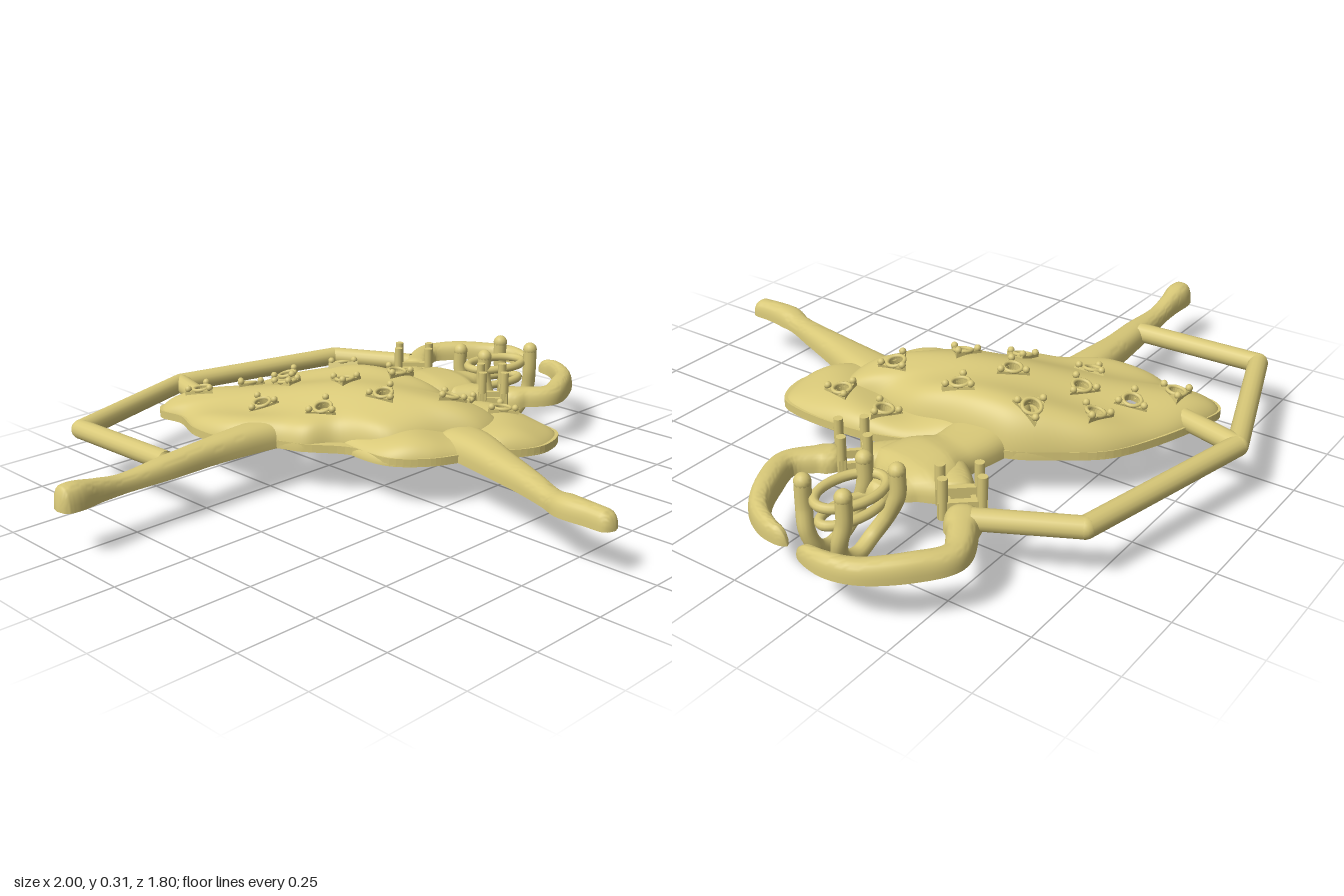
import * as THREE from 'three';
import { toCreasedNormals } from 'three/addons/utils/BufferGeometryUtils.js';

const BASE = 0.14; // height of the flat back
const gold = new THREE.MeshStandardMaterial({ color: 0xd8c878, side: THREE.DoubleSide });
const V = (x, y, z) => new THREE.Vector3(x, y, z);

function mesh(name, geometry, parent) {
  const m = new THREE.Mesh(geometry, gold);
  m.name = name;
  parent.add(m);
  return m;
}

function gridIndex(rows, cols) {
  const index = [];
  for (let i = 0; i < rows; i++) for (let j = 0; j < cols; j++) {
    const a = i * cols + j, b = i * cols + (j + 1) % cols;
    index.push(a, b, a + cols, b, b + cols, a + cols);
  }
  return index;
}

function fromGrid(pos, rows, cols) {
  const g = new THREE.BufferGeometry();
  g.setAttribute('position', new THREE.Float32BufferAttribute(pos, 3));
  g.setIndex(gridIndex(rows, cols));
  g.computeVertexNormals();
  return g;
}

// Flat-backed domed limb; stations are [x, z, half width, height]
function limb(stations) {
  const path = new THREE.CatmullRomCurve3(stations.map(s => V(s[0], 0, s[1])));
  const size = new THREE.CatmullRomCurve3(stations.map(s => V(s[2], s[3], 0)));
  const rows = stations.length * 8, arc = 16, cols = arc + 1, pos = [];
  for (let i = 0; i <= rows; i++) {
    const t = i / rows, c = path.getPoint(t), s = size.getPoint(t);
    const side = V(0, 1, 0).cross(path.getTangent(t)).normalize();
    const end = Math.min(1, Math.sqrt(Math.max(0, 1 - (1 - Math.min(i, rows - i, 4) / 4) ** 2)));
    for (let j = 0; j < cols; j++) {
      const a = Math.PI * j / arc, ca = Math.cos(a);
      const w = Math.sign(ca) * Math.abs(ca) ** 0.75 * s.x * end;
      pos.push(c.x + side.x * w, BASE + s.y * end * Math.abs(Math.sin(a)) ** 0.75, c.z + side.z * w);
    }
  }
  return toCreasedNormals(fromGrid(pos, rows, cols), 0.9);
}

function outlinePoints(outline, n) {
  return new THREE.CatmullRomCurve3(outline.map(p => V(p[0], 0, p[1])), true).getPoints(n).slice(0, n);
}

// Domed cloth layer: rings shrink from the outline to a centre point
function cloth(outline, cx, cz, top) {
  const cols = 160, rows = 50, rim = outlinePoints(outline, cols), pos = [];
  for (let i = 0; i <= rows; i++) {
    const t = Math.sin(Math.PI / 2 * (1 - i / rows));
    for (const p of rim) {
      const x = cx + (p.x - cx) * t, z = cz + (p.z - cz) * t;
      pos.push(x, BASE + (top(x, z) - BASE) * Math.sqrt(Math.max(0, 1 - t ** 8)), z);
    }
  }
  return fromGrid(pos, rows, cols);
}

// Cut openings by dropping the triangles around each centre
function pierce(geometry, centres, radius) {
  const p = geometry.attributes.position, src = geometry.index.array, kept = [];
  for (let i = 0; i < src.length; i += 3) {
    const f = [src[i], src[i + 1], src[i + 2]];
    const x = f.reduce((s, k) => s + p.getX(k), 0) / 3, z = f.reduce((s, k) => s + p.getZ(k), 0) / 3;
    if (centres.every(c => Math.hypot(c[0] - x, c[1] - z) > radius)) kept.push(...f);
  }
  geometry.setIndex(kept);
}

function circleHole(x, y, r, sides) {
  const h = new THREE.Path();
  h.setFromPoints(Array.from({ length: sides }, (_, k) => {
    const a = -2 * Math.PI * k / sides;
    return new THREE.Vector2(x + r * Math.cos(a), y + r * Math.sin(a));
  }));
  return h;
}

// Back plate with a honeycomb of openings
function honeycomb(outline) {
  const pts = outlinePoints(outline, 140).map(p => new THREE.Vector2(p.x, p.z));
  const inside = (x, y) => pts.reduce((odd, a, i) => {
    const b = pts[(i + 1) % pts.length];
    return (a.y > y) !== (b.y > y) && x < a.x + (b.x - a.x) * (y - a.y) / (b.y - a.y) ? !odd : odd;
  }, false);
  const shape = new THREE.Shape(pts), pitch = 0.122, ring = [...Array(12).keys()];
  for (let r = -8; r < 8; r++) for (let c = -8; c < 8; c++) {
    const x = (c + (r & 1) / 2) * pitch, y = r * pitch * 0.866 - 0.15;
    if (ring.every(k => inside(x + 0.066 * Math.cos(k * Math.PI / 6), y + 0.066 * Math.sin(k * Math.PI / 6))))
      shape.holes.push(circleHole(x, y, 0.048, 12));
  }
  return new THREE.ExtrudeGeometry(shape, { depth: 0.025, bevelEnabled: false })
    .rotateX(Math.PI / 2).translate(0, BASE + 0.025, 0);
}

// Three-cornered stone seat with a bead on each corner
function stoneSeat() {
  const g = new THREE.Group();
  g.name = 'stoneSeat';
  const corner = (k, r) => new THREE.Vector2(r * Math.sin(k * 2.0944), r * Math.cos(k * 2.0944));
  const tri = new THREE.Shape([0, 1, 2].map(k => corner(-k, 0.056)));
  tri.holes.push(circleHole(0, 0, 0.022, 20));
  mesh('seatPlate', new THREE.ExtrudeGeometry(tri, { depth: 0.022, bevelEnabled: false })
    .rotateX(Math.PI / 2).translate(0, 0.008, 0), g);
  mesh('seatRim', new THREE.TorusGeometry(0.027, 0.006, 8, 24).rotateX(Math.PI / 2).translate(0, 0.008, 0), g);
  for (let k = 0; k < 3; k++) {
    const c = corner(k, 0.043);
    mesh('bead', new THREE.SphereGeometry(0.011, 10, 8).translate(c.x, 0.014, c.y), g);
  }
  return g;
}

// Square setting bridging a gap in the arm
function armSetting(x, z, angle) {
  const g = new THREE.Group();
  g.name = 'armSetting';
  for (const s of [-1, 1]) {
    mesh('crossbar', new THREE.BoxGeometry(0.02, 0.05, 0.13).translate(s * 0.035, 0.165, 0), g);
    mesh('sideRail', new THREE.BoxGeometry(0.07, 0.025, 0.014).translate(0, 0.155, s * 0.034), g);
    for (const e of [-1, 1])
      mesh('prong', new THREE.CylinderGeometry(0.014, 0.014, 0.12, 10).translate(s * 0.036, 0.2, e * 0.052), g);
  }
  g.position.set(x, 0, z);
  g.rotation.y = angle;
  return g;
}

export function createModel() {
  const model = new THREE.Group();
  model.name = 'dancerBrooch';

  // Legs, torso and arms
  mesh('extendedLeg', limb([[-0.15, -0.27, 0.08, 0.07], [-0.32, -0.275, 0.062, 0.07], [-0.47, -0.275, 0.05, 0.062], [-0.62, -0.267, 0.045, 0.055],
    [-0.78, -0.26, 0.033, 0.045], [-0.87, -0.255, 0.034, 0.058], [-0.95, -0.25, 0.042, 0.072], [-1, -0.25, 0.035, 0.068]]), model);
  mesh('standingLeg', limb([[0.14, 0.14, 0.09, 0.07], [0.11, 0.27, 0.075, 0.075], [0.06, 0.42, 0.055, 0.065], [0.015, 0.56, 0.042, 0.055],
    [-0.025, 0.67, 0.036, 0.045], [-0.045, 0.735, 0.042, 0.055], [-0.05, 0.82, 0.034, 0.055], [-0.05, 0.895, 0.034, 0.05]]), model);
  mesh('torso', limb([[0.15, -0.25, 0.12, 0.09], [0.28, -0.25, 0.1, 0.075], [0.37, -0.24, 0.09, 0.07], [0.45, -0.22, 0.13, 0.08],
    [0.53, -0.21, 0.15, 0.075], [0.58, -0.2, 0.09, 0.06], [0.62, -0.19, 0.055, 0.055], [0.67, -0.185, 0.04, 0.05]]), model);
  mesh('rightShoulder', limb([[0.44, -0.27, 0.06, 0.06], [0.5, -0.34, 0.055, 0.06], [0.54, -0.38, 0.045, 0.055]]), model);
  mesh('leftShoulder', limb([[0.44, -0.15, 0.06, 0.06], [0.5, -0.09, 0.055, 0.06], [0.53, -0.05, 0.045, 0.055]]), model);
  mesh('rightArm', limb([[0.58, -0.42, 0.042, 0.055], [0.66, -0.48, 0.042, 0.055], [0.77, -0.53, 0.038, 0.055], [0.86, -0.48, 0.036, 0.06],
    [0.95, -0.38, 0.032, 0.055], [0.975, -0.3, 0.027, 0.055], [0.96, -0.19, 0.017, 0.04]]), model);
  mesh('leftArm', limb([[0.555, -0.01, 0.042, 0.055], [0.61, 0.05, 0.042, 0.055], [0.68, 0.1, 0.038, 0.055], [0.79, 0.065, 0.036, 0.06],
    [0.88, 0.01, 0.03, 0.055], [0.935, -0.07, 0.023, 0.055], [0.95, -0.15, 0.015, 0.04]]), model);
  model.add(armSetting(0.56, -0.405, 0.72), armSetting(0.545, -0.03, -0.8));

  // Skirt: two cloth layers over a pierced back plate
  const crown = [[0.29, 0.24], [0.19, 0.26], [0.08, 0.18], [-0.07, 0.1], [-0.14, -0.06], [-0.22, -0.12], [-0.26, -0.21], [-0.35, -0.34],
    [-0.36, -0.48], [-0.32, -0.6], [-0.33, -0.69], [-0.29, -0.735], [-0.18, -0.715], [-0.02, -0.66], [0.11, -0.59], [0.2, -0.48], [0.27, -0.37]];
  const upper = [...crown, [0.29, -0.27], [0.3, -0.16], [0.31, -0.03], [0.28, 0.1]];
  const hem = [[0.35, -0.16], [0.4, -0.05], [0.43, 0.08], [0.43, 0.28], [0.4, 0.36], [0.28, 0.4], [0.17, 0.35], [0.12, 0.3], [0.03, 0.27],
    [-0.05, 0.23], [-0.13, 0.14], [-0.14, 0]];
  const lower = [...hem, [-0.08, -0.2], [0.1, -0.3], [0.27, -0.28]];
  const skirts = [
    mesh('upperSkirt', cloth(upper, 0.01, -0.25, (x, z) => 0.215 + 0.03 * Math.exp(-((z - 0.2) ** 2) / 0.05)
      + 0.078 * Math.exp(-((x - 0.17) ** 2 + (z + 0.2) ** 2) / 0.1) + 0.009 * Math.sin(22 * x - 9 * z)), model),
    mesh('lowerSkirt', cloth(lower, 0.16, 0.05, (x, z) => 0.205 + 0.01 * Math.sin(16 * x + 14 * z)), model),
  ];
  mesh('backPlate', honeycomb([...crown.slice(5), ...hem]), model);

  // Stone seats laid on the cloth
  const seats = [[-0.21, -0.625], [-0.08, -0.55], [0.06, -0.51], [-0.18, -0.36], [-0.03, -0.41], [0.19, -0.38], [0.045, -0.22],
    [-0.11, -0.155], [0.215, -0.155], [0.035, -0.037], [0.185, 0.1], [0.34, 0.027], [0.335, 0.187]];
  const ray = new THREE.Raycaster();
  seats.forEach(([x, z], i) => {
    ray.set(V(x, 1, z), V(0, -1, 0));
    const hit = ray.intersectObjects(skirts)[0];
    if (!hit) return;
    const seat = stoneSeat(), n = hit.face.normal.clone();
    if (n.y < 0) n.negate();
    seat.position.copy(hit.point);
    seat.quaternion.setFromUnitVectors(V(0, 1, 0), n).multiply(
      new THREE.Quaternion().setFromAxisAngle(V(0, 1, 0), i * 0.9));
    model.add(seat);
  });
  skirts.forEach(s => pierce(s.geometry, seats, 0.022));

  // Angular ribbon frame of round bars
  const frame = [[-0.61, -0.29], [-0.625, -0.7], [-0.115, -0.87], [0.485, -0.735], [0.62, -0.48]].map(p => V(p[0], 0.171, p[1]));
  const bar = (a, b) => mesh('frameBar', new THREE.TubeGeometry(new THREE.LineCurve3(a, b), 1, 0.031, 16), model);
  frame.slice(1).forEach((p, i) => bar(frame[i], p));
  bar(frame[2], V(-0.17, 0.171, -0.67));
  frame.slice(1, 4).forEach(p => mesh('frameJoint', new THREE.SphereGeometry(0.031, 16, 12).translate(p.x, p.y, p.z), model));

  // Head: oval stone rings held by two U-shaped wires with ball tips
  const head = new THREE.Group();
  head.name = 'headSetting';
  for (const [a, b, y, r] of [[0.108, 0.068, 0.205, 0.014], [0.1, 0.045, 0.145, 0.014]]) {
    const oval = Array.from({ length: 24 }, (_, k) => V(a * Math.cos(k * Math.PI / 12), 0, b * Math.sin(k * Math.PI / 12)));
    const ring = mesh('ovalRing', new THREE.TubeGeometry(new THREE.CatmullRomCurve3(oval, true), 64, r, 10, true), head);
    ring.position.set(0.735, y, -0.178);
    ring.rotation.y = -0.2;
  }
  for (const [za, zm, zb] of [[-0.265, -0.205, -0.235], [-0.155, -0.12, -0.1]]) {
    const xa = 0.65, xb = 0.83;
    const wire = new THREE.CatmullRomCurve3([V(xa, 0.255, za), V(xa, 0.18, za), V(xa + 0.005, 0.11, (za + zm) / 2), V(0.685, 0.05, zm),
      V(0.75, 0.025, zm), V(0.81, 0.05, zm), V(xb + 0.005, 0.11, (zb + zm) / 2), V(xb, 0.18, zb), V(xb, 0.255, zb)]);
    mesh('wire', new THREE.TubeGeometry(wire, 60, 0.023, 12), head);
    for (const [x, z] of [[xa, za], [xb, zb]]) mesh('ballTip', new THREE.SphereGeometry(0.024, 14, 10).translate(x, 0.253, z), head);
  }
  model.add(head);
  return model;
}
